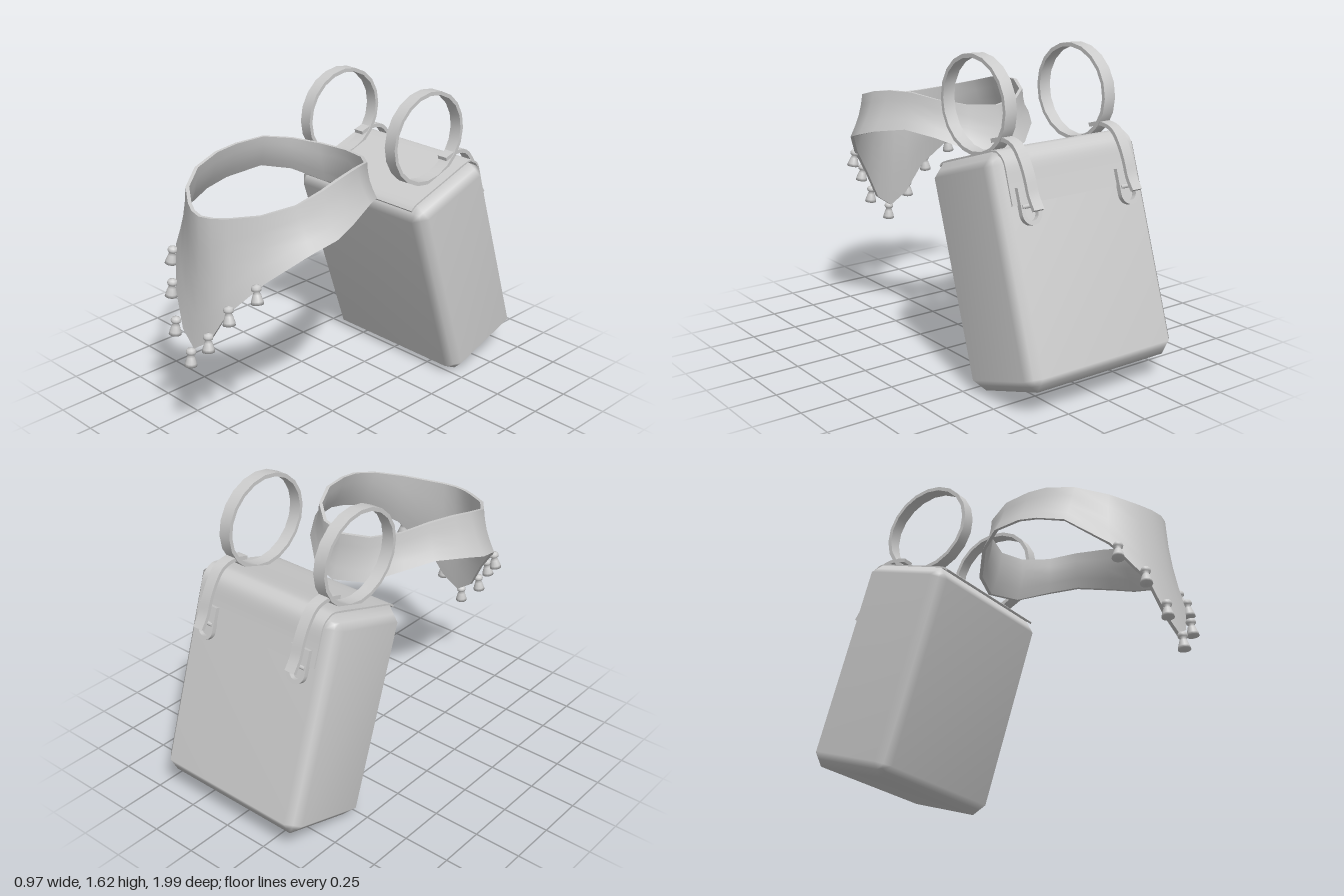
import * as THREE from 'three';
import { mergeVertices, toCreasedNormals } from 'three/addons/utils/BufferGeometryUtils.js';

const mat = new THREE.MeshStandardMaterial({ color: 0xcccccc, side: THREE.DoubleSide });

function part(name, geometry, parent) {
  const mesh = new THREE.Mesh(geometry, mat);
  mesh.name = name;
  parent.add(mesh);
  return mesh;
}

// Box with one flat chamfer on every edge and blended normals
function chamferBox(w, h, d, c) {
  const g = new THREE.BoxGeometry(1, 1, 1, 3, 3, 3);
  const p = g.attributes.position, half = [w / 2, h / 2, d / 2];
  for (let i = 0; i < p.count; i++) {
    const v = [p.getX(i), p.getY(i), p.getZ(i)];
    const outer = v.filter(a => Math.abs(a) > 0.4).length;
    const cut = [0, 0, c / 2, c * 2 / 3][outer];
    const q = v.map((a, k) => Math.sign(a) * (half[k] - (Math.abs(a) > 0.4 ? cut : c)));
    p.setXYZ(i, ...q);
  }
  g.deleteAttribute('normal');
  g.deleteAttribute('uv');
  const m = mergeVertices(g);
  m.computeVertexNormals();
  return m;
}

// Extrude a side-view shape (drawn with x = -z) across the model's width
function sideExtrude(shape, width, curveSegments = 12) {
  const g = new THREE.ExtrudeGeometry(shape, { depth: width, bevelEnabled: false, curveSegments });
  g.translate(0, 0, -width / 2);
  g.rotateY(Math.PI / 2);
  return toCreasedNormals(g, 0.7);
}

// Flat band following [z, y] points
function band(points, thickness, width, steps) {
  const curve = new THREE.SplineCurve(points.map(([z, y]) => new THREE.Vector2(-z, y)));
  const a = [], b = [];
  for (let i = 0; i <= steps; i++) {
    const p = curve.getPoint(i / steps), t = curve.getTangent(i / steps);
    const n = new THREE.Vector2(-t.y, t.x).multiplyScalar(thickness / 2);
    a.push(p.clone().add(n));
    b.unshift(p.clone().sub(n));
  }
  return sideExtrude(new THREE.Shape([...a, ...b]), width);
}

// Collar half stations from back to front: top rim, bottom rim
const TOP = [
  [0, 1.3, -0.11], [0.15, 1.31, -0.07], [0.27, 1.335, 0.03], [0.34, 1.36, 0.17], [0.375, 1.35, 0.33],
  [0.39, 1.33, 0.45], [0.37, 1.29, 0.6], [0.27, 1.25, 0.74], [0.14, 1.225, 0.83], [0.07, 1.217, 0.865], [0, 1.213, 0.88],
];
const BOTTOM = [
  [0, 1.07, -0.18], [0.17, 1.085, -0.12], [0.31, 1.15, 0], [0.4, 1.18, 0.14], [0.467, 1.145, 0.33],
  [0.485, 1.11, 0.45], [0.455, 1.07, 0.59], [0.33, 0.94, 0.77], [0.19, 0.77, 0.89], [0.1, 0.61, 0.93], [0, 0.54, 0.945],
];

function collarGeometry() {
  const mirror = list => [...list, ...list.slice(1, -1).reverse().map(([x, y, z]) => [-x, y, z])];
  const top = mirror(TOP), bottom = mirror(BOTTOM), n = top.length, rows = 4;
  const pos = [], index = [];
  const ringPoint = (s, f, inset) => {
    const p = new THREE.Vector3(...bottom[s]).lerp(new THREE.Vector3(...top[s]), f);
    const dir = new THREE.Vector3(p.x, 0, p.z - 0.4).normalize();
    // slight hollow halfway up the cloth
    return p.addScaledVector(dir, -inset - 0.012 * Math.sin(f * Math.PI));
  };
  // closed section: outside going up, inside going down
  const section = [];
  for (let r = 0; r <= rows; r++) section.push([r / rows, 0]);
  for (let r = rows; r >= 0; r--) section.push([r / rows, 0.018]);
  const m = section.length;
  for (let s = 0; s < n; s++) for (const [f, inset] of section) pos.push(...ringPoint(s, f, inset).toArray());
  for (let s = 0; s < n; s++) for (let r = 0; r < m; r++) {
    const a = s * m + r, b = s * m + (r + 1) % m;
    const c = ((s + 1) % n) * m + r, d = ((s + 1) % n) * m + (r + 1) % m;
    index.push(a, d, b, a, c, d);
  }
  // stations run from the back round the +x side, so flip to face outwards
  for (let i = 0; i < index.length; i += 3) [index[i + 1], index[i + 2]] = [index[i + 2], index[i + 1]];
  const g = new THREE.BufferGeometry();
  g.setAttribute('position', new THREE.Float32BufferAttribute(pos, 3));
  g.setIndex(index);
  return toCreasedNormals(g, 0.9);
}

function tasselGeometry() {
  const profile = [[0, -0.05], [0.032, -0.046], [0.029, -0.03], [0.02, 0], [0.014, 0.012],
    [0.023, 0.019], [0.026, 0.03], [0.021, 0.042], [0, 0.049]];
  return new THREE.LatheGeometry(profile.map(([x, y]) => new THREE.Vector2(x, y)), 12);
}

function buckleGeometry() {
  const u = (w, top, drop) => {
    const s = new THREE.Shape();
    s.moveTo(w, top);
    s.lineTo(-w, top);
    s.lineTo(-w, drop);
    s.absarc(0, drop, w, Math.PI, Math.PI * 2, false);
    s.lineTo(w, top);
    return s;
  };
  const s = u(0.057, 0.09, -0.035);
  s.holes.push(u(0.036, 0.07, -0.035));
  const g = new THREE.ExtrudeGeometry(s, { depth: 0.026, bevelEnabled: false, curveSegments: 8 });
  g.translate(0, 0, -0.013);
  return toCreasedNormals(g, 0.7);
}

export function createModel() {
  const model = new THREE.Group();
  model.name = 'collarAndBackpack';

  // Scarf collar with pointed front
  part('collar', collarGeometry(), model);

  // Tassels along the front hem
  const tassel = tasselGeometry();
  const spots = [[0, 0.5, 0.962], [0.125, 0.622, 0.95], [0.215, 0.776, 0.893], [0.317, 0.892, 0.805]];
  spots.forEach(([x, y, z], i) => {
    for (const side of i ? [1, -1] : [1]) {
      const t = part('tassel', tassel, model);
      t.position.set(side * x - 0.005, y, z);
      t.rotation.set(-0.08, 0, side * x * 0.5);
    }
  });

  // Leaning backpack
  const bag = new THREE.Group();
  bag.name = 'backpack';
  bag.position.set(0.005, 0.604, -0.579);
  bag.rotation.x = 0.3194;
  model.add(bag);
  part('bagBody', chamferBox(0.92, 1.127, 0.548, 0.065), bag);

  // Lid flap over the top and down the back
  part('lidFlap', band([[0.25, 0.553], [0.2, 0.567], [0, 0.567], [-0.2, 0.567], [-0.25, 0.545],
    [-0.277, 0.5], [-0.277, 0.4], [-0.277, 0.3]], 0.01, 0.78, 28), bag);

  const loop = new THREE.Shape();
  loop.absellipse(0.357, 1.378, 0.262, 0.246, 0, Math.PI * 2);
  const hole = new THREE.Path();
  hole.absellipse(0.357, 1.378, 0.242, 0.226, 0, Math.PI * 2);
  loop.holes.push(hole);

  for (const side of [1, -1]) {
    const x = side * 0.303;
    // Shoulder loop
    part('shoulderLoop', sideExtrude(loop, 0.067, 10), model).position.x = x;
    // Closing strap over the lid
    part('closingStrap', band([[-0.5, 1.23], [-0.58, 1.25], [-0.66, 1.235], [-0.715, 1.175],
      [-0.755, 1.1], [-0.785, 1.02], [-0.825, 0.96]], 0.02, 0.058, 18), model).position.x = x;
    // Buckle and its pin
    part('buckle', buckleGeometry(), bag).position.set(x, 0.29, -0.291);
    const pin = part('bucklePin', new THREE.CylinderGeometry(0.011, 0.011, 0.1, 8), bag);
    pin.rotation.z = Math.PI / 2;
    pin.position.set(x, 0.29, -0.3);
  }
  return model;
}
